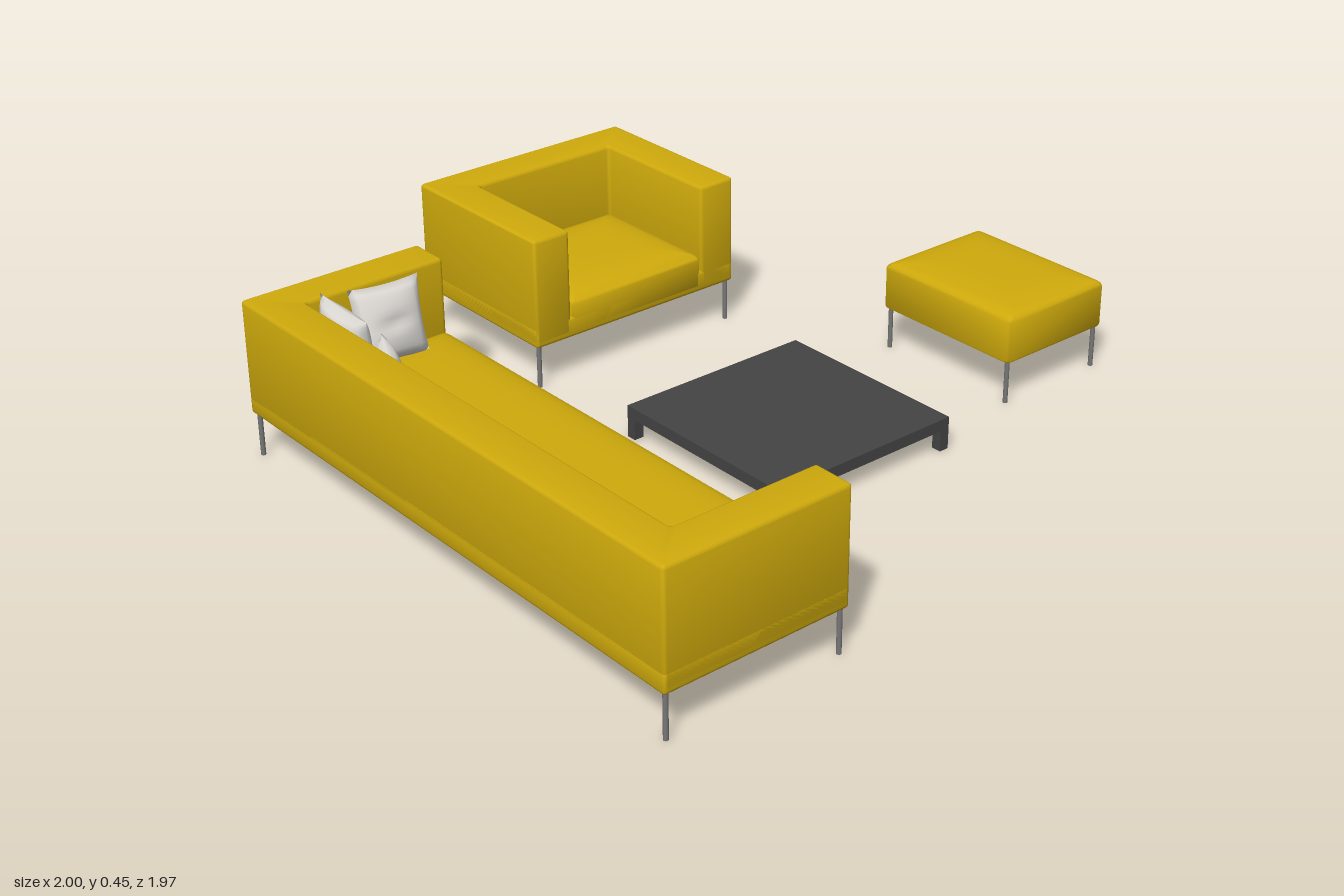
import * as THREE from 'three';
import { mergeGeometries, mergeVertices, toCreasedNormals } from 'three/addons/utils/BufferGeometryUtils.js';

const mat = (name, color, extra = {}) => new THREE.MeshStandardMaterial({ name, color, ...extra });

function mesh(name, geometry, material, x = 0, y = 0, z = 0) {
  const m = new THREE.Mesh(geometry, material);
  m.name = name;
  m.position.set(x, y, z);
  return m;
}

// Upright block from a floor outline of [x, z] corners, with softened edges
function block(corners, y0, y1, r = 0.008) {
  const pts = corners.map(([x, z]) => new THREE.Vector2(x, -z));
  const shape = new THREE.Shape();
  pts.forEach((p, i) => {
    const prev = pts[(i + pts.length - 1) % pts.length], next = pts[(i + 1) % pts.length];
    const a = p.clone().add(prev.clone().sub(p).setLength(r * 1.3));
    const b = p.clone().add(next.clone().sub(p).setLength(r * 1.3));
    if (i) shape.lineTo(a.x, a.y); else shape.moveTo(a.x, a.y);
    shape.quadraticCurveTo(p.x, p.y, b.x, b.y);
  });
  shape.closePath();
  const g = new THREE.ExtrudeGeometry(shape, {
    depth: y1 - y0 - 2 * r, bevelThickness: r, bevelSize: r, bevelOffset: -r, bevelSegments: 3, curveSegments: 3,
  });
  g.rotateX(-Math.PI / 2).translate(0, y0 + r, 0);
  return toCreasedNormals(g, 0.7);
}

const rect = (w, d) => [[-w / 2, d / 2], [w / 2, d / 2], [w / 2, -d / 2], [-w / 2, -d / 2]];

// Upholstered pad: stacked rounded rectangles rising to a soft crown
function pad(w, d, y0, yEdge, yTop, r = 0.012) {
  const rise = yTop - yEdge, half = Math.min(w, d) / 2;
  const rows = [[0.008, y0], [0.002, y0 + 0.002], [0, y0 + 0.008], [0, yEdge - 0.012], [0.003, yEdge - 0.004],
    [0.011, yEdge + rise * 0.12], [0.03, yEdge + rise * 0.45], [0.06, yEdge + rise * 0.75],
    [0.1, yEdge + rise * 0.92], [half * 0.8, yTop]];
  const n = 16, pos = [], idx = [];
  for (const [inset, y] of rows) {
    for (let i = 0; i < n; i++) {
      const q = Math.floor(i / 4), a = (q + (i % 4) / 3) * Math.PI / 2;
      const sx = q === 0 || q === 3 ? 1 : -1, sz = q < 2 ? 1 : -1;
      pos.push(sx * (w / 2 - inset - r) + r * Math.cos(a), y, sz * (d / 2 - inset - r) + r * Math.sin(a));
    }
  }
  for (let k = 0; k < rows.length - 1; k++) {
    for (let i = 0; i < n; i++) {
      const a = k * n + i, b = k * n + (i + 1) % n;
      idx.push(a, a + n, b, b, a + n, b + n);
    }
  }
  const bottom = pos.length / 3, top = bottom + 1, last = (rows.length - 1) * n;
  pos.push(0, y0, 0, 0, yTop, 0);
  for (let i = 0; i < n; i++) {
    const j = (i + 1) % n;
    idx.push(bottom, i, j, top, last + j, last + i);
  }
  const g = new THREE.BufferGeometry();
  g.setAttribute('position', new THREE.Float32BufferAttribute(pos, 3));
  g.setIndex(idx);
  return toCreasedNormals(g, 0.9);
}

// Scatter cushion: two bulged faces with pulled-in sides and pointed corners
function cushion(size, thick) {
  const face = new THREE.PlaneGeometry(2, 2, 14, 14);
  const p = face.attributes.position;
  for (let i = 0; i < p.count; i++) {
    const u = p.getX(i), v = p.getY(i);
    const bulge = Math.pow(Math.max(0, (1 - u * u) * (1 - v * v)), 0.45);
    const dent = 1 - 0.25 * Math.exp(-(u * u * 4 + v * v * 30));
    p.setXYZ(i, u * size / 2 * (1 - 0.07 * (1 - v * v)), v * size / 2 * (1 - 0.07 * (1 - u * u)),
      bulge * dent * thick / 2);
  }
  face.deleteAttribute('uv');
  face.deleteAttribute('normal');
  const g = mergeVertices(mergeGeometries([face, face.clone().rotateY(Math.PI)]), 1e-5);
  g.computeVertexNormals();
  return g;
}

function addLegs(group, w, d, material) {
  const g = new THREE.CylinderGeometry(0.0065, 0.0065, 0.125, 12);
  for (const sx of [-1, 1]) for (const sz of [-1, 1]) {
    group.add(mesh('leg', g, material, sx * (w / 2 - 0.015), 0.0625, sz * (d / 2 - 0.015)));
  }
}

// Low seat with arms and back at one height, facing +z
function makeSeat(name, w, d, fabric, metal) {
  const group = new THREE.Group();
  group.name = name;
  const t = 0.115, x = w / 2, z = d / 2, xi = x - t;
  const outline = [[-x, z], [-xi, z], [-xi, -z + t], [xi, -z + t], [xi, z], [x, z], [x, -z], [-x, -z]];
  group.add(mesh('base', block(rect(w, d), 0.12, 0.18), fabric));
  group.add(mesh('armsAndBack', block(outline, 0.13, 0.43), fabric));
  group.add(mesh('seatCushion', pad(w - 2 * t, d - t, 0.13, 0.225, 0.247), fabric, 0, 0, t / 2));
  addLegs(group, w, d, metal);
  return group;
}

export function createModel() {
  const fabric = mat('mustardFabric', 0xcfaa0c);
  const metal = mat('legMetal', 0x777777);
  const dark = mat('darkTable', 0x444444);
  const linen = mat('paleLinen', 0xdedbd6);
  const model = new THREE.Group();
  model.name = 'loungeSet';

  const sofa = makeSeat('sofa', 1.635, 0.52, fabric, metal);
  sofa.rotation.y = Math.PI / 2;
  sofa.position.set(-0.74, 0, 0.165);
  const armchair = makeSeat('armchair', 0.68, 0.52, fabric, metal);
  armchair.position.set(0.095, 0, -0.727);
  model.add(sofa, armchair);

  // Footstool
  const stool = new THREE.Group();
  stool.name = 'footstool';
  stool.position.set(0.815, 0, 0.17);
  stool.add(mesh('stoolPad', pad(0.365, 0.465, 0.12, 0.25, 0.267), fabric));
  addLegs(stool, 0.365, 0.465, metal);
  model.add(stool);

  // Coffee table: thin top over a rail frame and square feet
  const table = new THREE.Group();
  table.name = 'coffeeTable';
  table.position.set(0.064, 0, 0.177);
  const s = 0.578, c = 0.028;
  table.add(mesh('tableTop', new THREE.BoxGeometry(s, 0.014, s), dark, 0, 0.083, 0));
  for (const side of [-1, 1]) {
    const o = side * (s - c) / 2;
    table.add(mesh('rail', new THREE.BoxGeometry(s, 0.018, c), dark, 0, 0.067, o));
    table.add(mesh('rail', new THREE.BoxGeometry(c, 0.018, s - 2 * c), dark, o, 0.067, 0));
    for (const sx of [-1, 1]) {
      table.add(mesh('foot', new THREE.BoxGeometry(c, 0.058, c), dark, sx * (s - c) / 2, 0.029, o));
    }
  }
  model.add(table);

  // Scatter cushions: size, thickness, position, turn, lean, roll
  const cushions = [
    [0.205, 0.08, [-0.84, 0.343, -0.43], Math.PI / 2, -0.08, 0.03],
    [0.205, 0.08, [-0.69, 0.34, -0.475], 0, -0.27, -0.05],
    [0.155, 0.065, [-0.83, 0.32, -0.255], 1.13, -0.12, 0.04],
  ];
  for (const [size, thick, at, turn, lean, roll] of cushions) {
    const m = mesh('scatterCushion', cushion(size, thick), linen, ...at);
    m.rotation.set(lean, turn, roll, 'YXZ');
    model.add(m);
  }
  return model;
}
